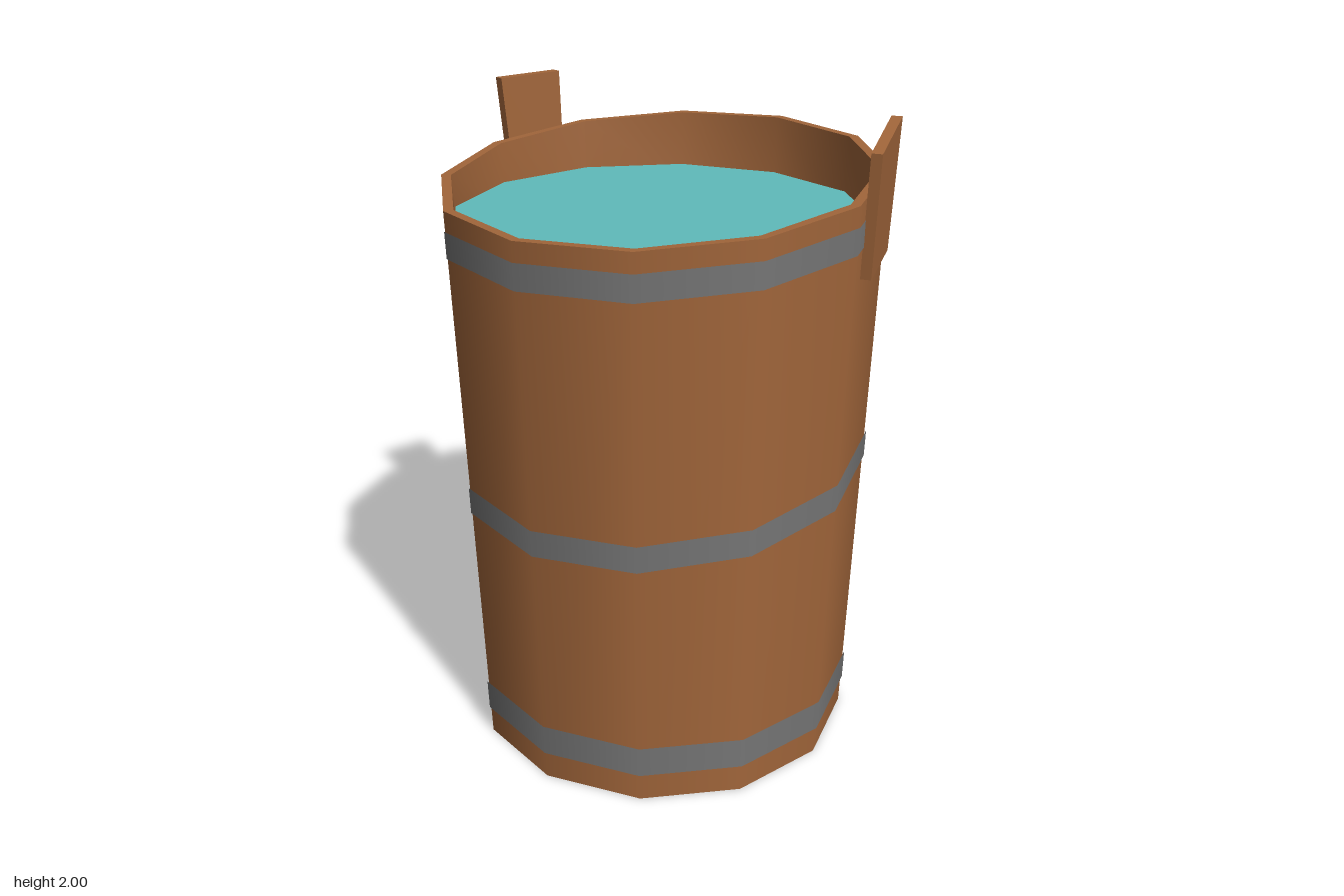
import * as THREE from 'three';

const SIDES = 12;

export function createModel() {
  const wood = new THREE.MeshStandardMaterial({ color: 0xa0653a });
  wood.name = 'wood';
  const iron = new THREE.MeshStandardMaterial({ color: 0x757575 });
  iron.name = 'iron';
  const water = new THREE.MeshStandardMaterial({ color: 0x60bbbb });
  water.name = 'water';

  const model = new THREE.Group();
  model.name = 'bucket';

  function add(name, geometry, material) {
    const mesh = new THREE.Mesh(geometry, material);
    mesh.name = name;
    model.add(mesh);
    return mesh;
  }

  // Height that runs evenly from the front edge to the back edge
  const slope = (front, back) => (z) => front + (back - front) * (1 - z) / 2;
  const rimHeight = slope(1.75, 1.86);
  const outerRadius = (y) => 0.605 + 0.034 * y;

  // Twelve-sided surface between two loops; each loop has a height and a radius rule
  function skirt(lowY, lowR, highY, highR, flip = false) {
    const g = new THREE.CylinderGeometry(1, 1, 1, SIDES, 1, true);
    const p = g.attributes.position;
    for (let i = 0; i < p.count; i++) {
      const x = p.getX(i), z = p.getZ(i), top = p.getY(i) > 0;
      const y = (top ? highY : lowY)(z);
      const r = (top ? highR : lowR)(y);
      p.setXYZ(i, x * r, y, z * r);
    }
    if (flip) {
      g.index.array.reverse();
      g.computeVertexNormals();
    }
    return g;
  }

  // Tapered staves, cut at a slant along the top
  const rimOuter = () => 0.667;
  const rimInner = () => 0.637;
  add('outerWall', skirt(slope(0, 0), outerRadius, rimHeight, rimOuter), wood);
  add('innerWall', skirt(slope(1.62, 1.62), () => 0.627, rimHeight, rimInner, true), wood);
  const rim = skirt(rimHeight, rimOuter, rimHeight, rimInner);
  rim.computeVertexNormals();
  add('rim', rim, wood);
  add('base', new THREE.CircleGeometry(0.605, SIDES).rotateX(Math.PI / 2), wood);

  // Water surface
  add('water', new THREE.CircleGeometry(0.629, SIDES).rotateX(-Math.PI / 2), water).position.y = 1.68;

  // Hoops: front and back heights of the lower and upper edges
  const hoopRadius = (y) => outerRadius(y) + 0.005;
  const hoops = [
    ['lowerHoop', 0.09, 0.09, 0.19, 0.19],
    ['middleHoop', 0.795, 0.955, 0.88, 1.04],
    ['upperHoop', 1.61, 1.72, 1.69, 1.80],
  ];
  for (const [name, lf, lb, hf, hb] of hoops) {
    add(name, skirt(slope(lf, lb), hoopRadius, slope(hf, hb), hoopRadius), iron);
  }

  // Handle lugs: slanted boards leaning out from one side panel of the wall
  function lug(name, side, topFront) {
    const g = new THREE.BoxGeometry(1, 1, 1);
    const p = g.attributes.position;
    const a = Math.PI / 12;
    for (let i = 0; i < p.count; i++) {
      const outer = p.getX(i) > 0, top = p.getY(i) > 0, front = p.getZ(i) > 0;
      const y = top ? (front ? topFront : 2.0) : (front ? 1.575 : 1.61);
      const z = front ? (top ? -0.055 : -0.08) : (top ? -0.27 : -0.265);
      const reach = (top ? 0.687 : 0.668) - (outer ? 0 : 0.032);
      // Place the outer face along the panel, then step back through the board
      const back = outer ? 0 : 0.032;
      const x = (reach + back + Math.sin(a) * z) / Math.cos(a);
      p.setXYZ(i, side * (x - back * Math.cos(a)), y, z + back * Math.sin(a));
    }
    if (side < 0) g.index.array.reverse();
    const flat = g.toNonIndexed();
    flat.computeVertexNormals();
    add(name, flat, wood);
  }
  lug('leftLug', 1, 1.94);
  lug('rightLug', -1, 2.0);

  return model;
}
